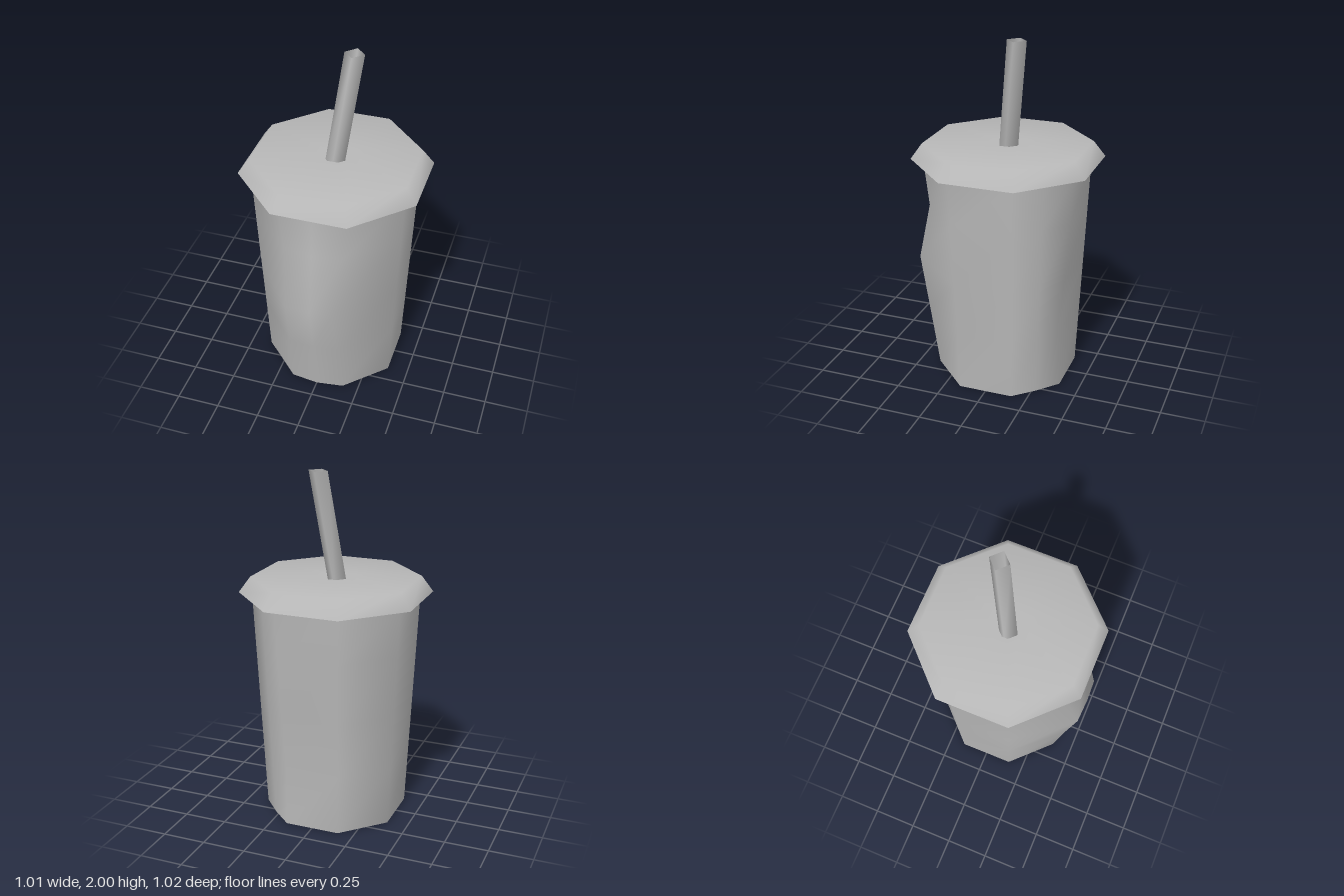
import * as THREE from 'three';

const grey = new THREE.MeshStandardMaterial({ color: 0xb8b8b8, side: THREE.DoubleSide });
grey.name = 'plain grey';

// Skin over closed rings listed bottom to top, each counterclockwise from above
function loft(rings) {
  const n = rings[0].length, index = [];
  for (let r = 0; r < rings.length - 1; r++)
    for (let i = 0; i < n; i++) {
      const j = (i + 1) % n, lo = r * n, hi = lo + n;
      index.push(lo + i, lo + j, hi + j, lo + i, hi + j, hi + i);
    }
  return build(rings.flat(), index);
}

// Flat fan closing one ring
function cap(ring, up) {
  const n = ring.length, index = [];
  for (let i = 0; i < n; i++) {
    const j = (i + 1) % n;
    index.push(n, up ? i : j, up ? j : i);
  }
  return build([...ring, [0, ring[0][1], 0]], index);
}

function build(points, index) {
  const g = new THREE.BufferGeometry();
  g.setAttribute('position', new THREE.Float32BufferAttribute(points.flat(), 3));
  g.setIndex(index);
  g.computeVertexNormals();
  return g;
}

// Regular polygon ring, size measured to its corners
function ring(sides, radius, y, cx = 0, cz = 0, turn = 0) {
  return Array.from({ length: sides }, (_, i) => {
    const a = turn + (i / sides) * Math.PI * 2;
    return [cx + radius * Math.sin(a), y, cz + radius * Math.cos(a)];
  });
}

const CORNER = 1 / Math.cos(Math.PI / 8); // flat-to-corner ratio of an octagon
const octagon = (half, y, cz = 0) => ring(8, half * CORNER, y, 0, cz, Math.PI / 8);

// Cup ring: octagon with an extra point on the front side and on the back diagonal.
// front = [left corner, middle, right corner] as [x, z]
function cupRing(y, front, backDent = 0) {
  const half = 0.38 + 0.06 * (y / 1.31);
  const p = octagon(half, y);
  const [left, mid, right] = front;
  p[0] = [left[0], y, left[1]];
  p[7] = [right[0], y, right[1]];
  p[3][2] += backDent;
  const d = (half + 0.008) * Math.SQRT1_2;
  return [...p.slice(0, 2), p[2], [d, y, -d], ...p.slice(3), [mid[0], y, mid[1]]];
}

export function createModel() {
  const group = new THREE.Group();
  const add = (name, geometry) => {
    const mesh = new THREE.Mesh(geometry, grey);
    mesh.name = name;
    group.add(mesh);
  };

  // Dented cup wall, bulging at the front
  const rings = [
    cupRing(0, [[0.157, 0.38], [0, 0.4], [-0.157, 0.38]]),
    cupRing(0.35, [[0.145, 0.442], [0, 0.455], [-0.15, 0.44]], 0.035),
    cupRing(0.67, [[0.125, 0.505], [0, 0.51], [-0.145, 0.503]], 0.015),
    cupRing(1.03, [[0.17, 0.412], [0, 0.455], [-0.17, 0.42]]),
    cupRing(1.31, [[0.182, 0.44], [0, 0.442], [-0.182, 0.44]]),
  ];
  add('cupWall', loft(rings));
  add('cupBottom', cap(rings[0], false));
  add('cupTop', cap(rings[4], true));

  // Sloped lid shell with an octagonal straw hole
  add('lid', loft([octagon(0.507, 1.31, -0.004), octagon(0.445, 1.4, -0.002), octagon(0.075, 1.4, -0.005)]));

  // Leaning square straw, open at the top
  add('straw', loft([ring(4, 0.056, 1.305, -0.015, 0.005), ring(4, 0.056, 2, 0.075, -0.078)]));

  return group;
}
